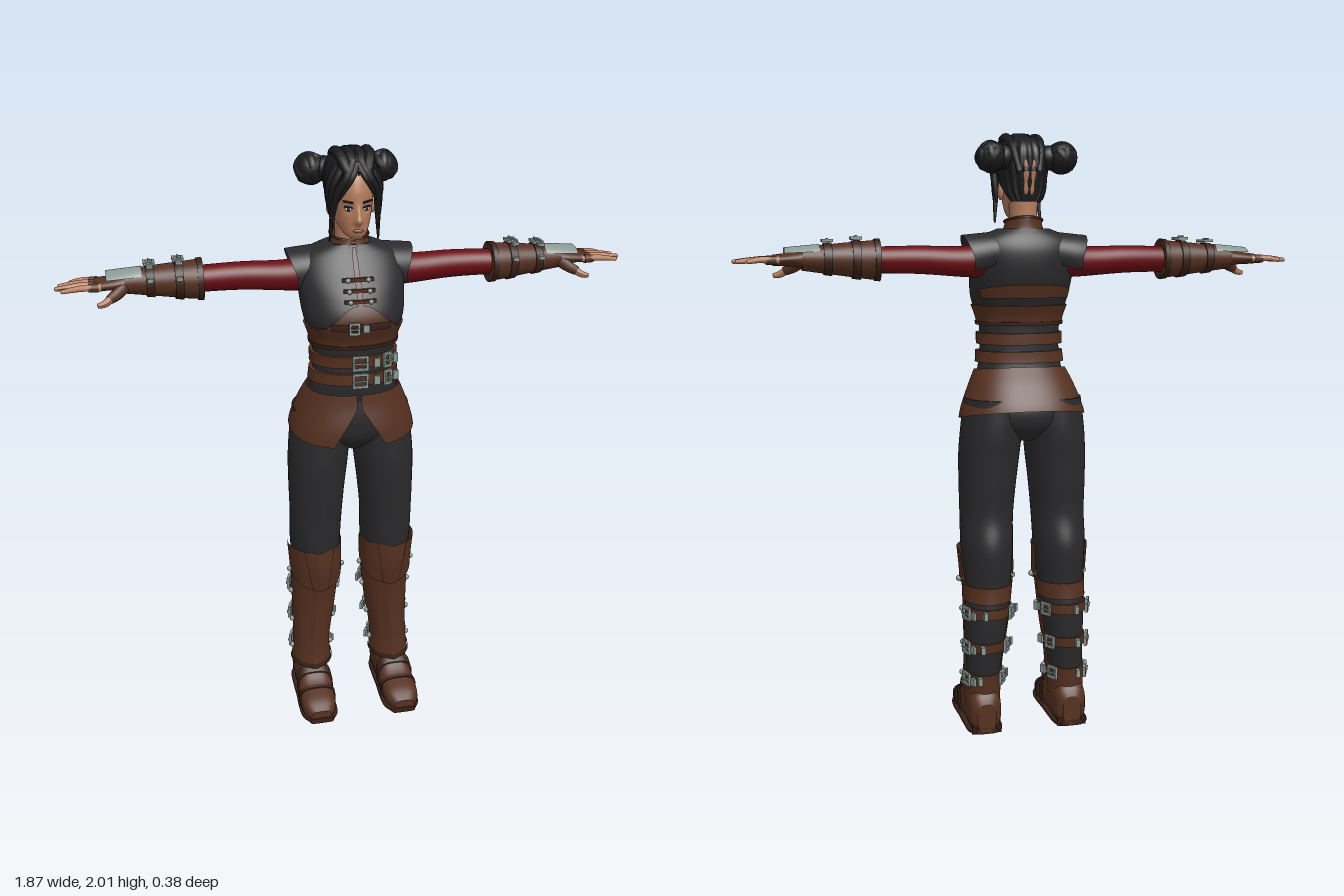
import * as THREE from 'three';

const mat = (name, color) => Object.assign(new THREE.MeshStandardMaterial({ color, side: THREE.DoubleSide }), { name });
const M = {
  hair: mat('hair', 0x1b1b1d), cloth: mat('black cloth', 0x2a2a2c), leather: mat('leather', 0x55301f),
  dark: mat('dark leather', 0x3a2218), red: mat('red sleeve', 0x6b0c13), skin: mat('skin', 0xb57d5c),
  metal: mat('metal', 0x8a9893), lips: mat('lips', 0x8f5245), white: mat('eye white', 0xd8d4cc),
};

// Smooth profile through rows of [y, centreX, centreZ, radiusX, radiusZ, squareness]
const profile = rows => y => {
  let i = 0;
  while (i < rows.length - 2 && y > rows[i + 1][0]) i++;
  const r = k => rows[Math.min(Math.max(k, 0), rows.length - 1)];
  const a = r(i), b = r(i + 1), h = b[0] - a[0], u = Math.min(Math.max((y - a[0]) / h, 0), 1);
  const slope = (k, c) => (r(k + 1)[c] - r(k - 1)[c]) / (r(k + 1)[0] - r(k - 1)[0]) * h;
  const out = [1, 2, 3, 4].map(c => a[c] * (2 * u ** 3 - 3 * u * u + 1) + b[c] * (3 * u * u - 2 * u ** 3)
    + slope(i, c) * (u ** 3 - 2 * u * u + u) + slope(i + 1, c) * (u ** 3 - u * u));
  return [...out, a[5] ?? 1];
};
const pow = (s, e) => Math.sign(s) * Math.abs(s) ** e;
const at = (prof, y, t, off = 0) => {
  const [cx, cz, rx, rz, e] = prof(y);
  return new THREE.Vector3(cx + (rx + off) * pow(Math.sin(t), e), y, cz + (rz + off) * pow(Math.cos(t), e));
};

// Skin a profile between two heights; an arc leaves it open, t = 0 faces the front
function loft(prof, y0, y1, { off = 0, arc, move, n = 16, seg = 40 } = {}) {
  const f = k => (typeof k === 'function' ? k : () => k), lo = f(y0), hi = f(y1);
  const pos = [], idx = [], cols = arc ? seg + 1 : seg;
  for (let i = 0; i <= n; i++) for (let j = 0; j < cols; j++) {
    const v = i / n, [a, b] = arc ? arc(v) : [-Math.PI, Math.PI], t = a + (b - a) * j / seg;
    const p = at(prof, lo(t) + (hi(t) - lo(t)) * v, t, off);
    if (move) move(p, t, v);
    pos.push(p.x, p.y, p.z);
  }
  for (let i = 0; i < n; i++) for (let j = 0; j < seg; j++) {
    const a = i * cols + j, b = i * cols + (j + 1) % cols;
    idx.push(a, b, b + cols, a, b + cols, a + cols);
  }
  if (!arc) for (const end of [0, n]) {
    const base = pos.length / 3, c = [0, 0, 0];
    for (let j = 0; j < cols; j++) for (let k = 0; k < 3; k++) {
      const q = pos[(end * cols + j) * 3 + k];
      pos.push(q); c[k] += q / cols;
    }
    pos.push(...c);
    for (let j = 0; j < cols; j++) {
      const p = base + j, q = base + (j + 1) % cols;
      idx.push(base + cols, ...(end ? [p, q] : [q, p]));
    }
  }
  const g = new THREE.BufferGeometry();
  g.setAttribute('position', new THREE.Float32BufferAttribute(pos, 3));
  g.setIndex(idx);
  g.computeVertexNormals();
  return g;
}
function add(parent, name, geo, material, x = 0, y = 0, z = 0) {
  const m = new THREE.Mesh(geo, material);
  m.name = name; m.position.set(x, y, z); parent.add(m);
  return m;
}
const group = (parent, name) => { const g = new THREE.Group(); g.name = name; parent.add(g); return g; };
const box = (w, h, d) => new THREE.BoxGeometry(w, h, d);
const ball = (r, sx = 1, sy = 1, sz = 1) => new THREE.SphereGeometry(r, 24, 16).scale(sx, sy, sz);
const bell = (d, w) => Math.exp(-((d / w) ** 2));

// Tapered strand along a curve
function strand(points, r, endScale = 0.2, flat = 1) {
  const c = new THREE.CatmullRomCurve3(points.map(p => new THREE.Vector3(...p)));
  const g = new THREE.TubeGeometry(c, 16, r, 10), p = g.attributes.position, v = new THREE.Vector3();
  for (let i = 0; i < p.count; i++) {
    const u = Math.floor(i / 11) / 16, o = c.getPointAt(u), k = 1 + (endScale - 1) * u * u;
    v.fromBufferAttribute(p, i).sub(o).multiplyScalar(k);
    p.setXYZ(i, o.x + v.x * flat, o.y + v.y, o.z + v.z);
  }
  g.computeVertexNormals();
  return g;
}
// Square buckle with prong and strap end, seated on a profile
function buckle(parent, prof, y, t, off, w = 0.04, h = 0.045) {
  const g = group(parent, 'buckle'), [, , rx, rz] = prof(y);
  g.position.copy(at(prof, y, t, off));
  g.rotation.y = Math.atan2(Math.sin(t) / rx, Math.cos(t) / rz);
  const rect = (S, a, b) => new S().moveTo(-a, -b).lineTo(a, -b).lineTo(a, b).lineTo(-a, b).closePath();
  const s = rect(THREE.Shape, w / 2, h / 2);
  s.holes.push(rect(THREE.Path, w / 2 - 0.007, h / 2 - 0.008));
  add(g, 'buckleFrame', new THREE.ExtrudeGeometry(s, { depth: 0.009, bevelEnabled: false }), M.metal);
  add(g, 'buckleProng', box(w, 0.005, 0.006), M.metal, 0, 0, 0.01);
  add(g, 'strapTip', box(0.02, h * 0.6, 0.01), M.metal, w * 1.05, 0, 0.004);
}
// Baked copy on the other side
function mirrored(src, name) {
  const out = new THREE.Group(); out.name = name;
  src.updateMatrixWorld(true);
  src.traverse(o => {
    if (!o.isMesh) return;
    const g = o.geometry.clone().applyMatrix4(o.matrixWorld).scale(-1, 1, 1);
    if (!g.index) g.setIndex([...Array(g.attributes.position.count).keys()]);
    const a = g.index.array;
    for (let i = 0; i < a.length; i += 3) [a[i], a[i + 1]] = [a[i + 1], a[i]];
    add(out, o.name, g, o.material);
  });
  return out;
}

function buildHead(root) {
  const head = group(root, 'head');
  const face = profile([[1.725, 0, 0.065, 0.015, 0.015], [1.74, 0, 0.045, 0.035, 0.047], [1.77, 0, 0.01, 0.052, 0.086],
    [1.8, 0, -0.01, 0.061, 0.107], [1.84, 0, -0.015, 0.066, 0.113], [1.88, 0, -0.02, 0.068, 0.116],
    [1.93, 0, -0.025, 0.064, 0.1], [1.965, 0, -0.03, 0.04, 0.06]]);
  add(head, 'face', loft(face, 1.725, 1.965, { n: 48, seg: 72, move: p => {
    if (p.z < 0.03) return;
    p.z += 0.022 * bell(p.x, 0.011) * bell(p.y - 1.787, 0.014) + 0.012 * bell(p.x, 0.009) * bell(p.y - 1.81, 0.02)
      - 0.008 * bell(Math.abs(p.x) - 0.027, 0.014) * bell(p.y - 1.823, 0.014) + 0.005 * bell(p.x, 0.016) * bell(p.y - 1.757, 0.009);
  } }), M.skin);
  add(head, 'neck', loft(profile([[1.64, 0, -0.05, 0.055, 0.055], [1.72, 0, -0.045, 0.045, 0.052], [1.82, 0, -0.04, 0.048, 0.06]]), 1.64, 1.82), M.skin);
  add(head, 'mouth', ball(0.017, 1, 0.35, 0.3), M.lips, 0, 1.757, 0.099);
  for (const s of [-1, 1]) {
    add(head, 'eye', ball(0.012, 1, 0.5, 0.35), M.white, s * 0.028, 1.822, 0.082).rotation.y = s * 0.3;
    add(head, 'iris', ball(0.006, 1, 1, 0.4), M.hair, s * 0.027, 1.822, 0.085);
    add(head, 'lashes', box(0.028, 0.004, 0.006), M.hair, s * 0.029, 1.829, 0.085).rotation.set(0, s * 0.35, s * 0.1);
    add(head, 'eyebrow', box(0.034, 0.005, 0.006), M.hair, s * 0.031, 1.846, 0.091).rotation.set(0, s * 0.35, s * 0.15);
    add(head, 'ear', ball(0.026, 0.4, 1.1, 0.7), M.skin, s * 0.069, 1.815, -0.015);
  }
  // Combed-back hair
  const hair = group(root, 'hair');
  const cap = profile([[1.78, 0, -0.07, 0.05, 0.045], [1.81, 0, -0.055, 0.068, 0.066], [1.85, 0, -0.03, 0.078, 0.1],
    [1.9, 0, -0.018, 0.085, 0.117], [1.95, 0, -0.018, 0.077, 0.106], [1.985, 0, -0.01, 0.05, 0.07], [2, 0, -0.005, 0.01, 0.015]]);
  const line = v => (v < 0.3 ? 1.75 - v : Math.max(0, 1.45 - (v - 0.3) * 3.6));
  add(hair, 'hairCap', loft(cap, 1.78, 2, { n: 32, seg: 120, arc: v => [line(v), 2 * Math.PI - line(v)],
    move: (p, t) => { const k = 1 + 0.025 * Math.cos(18 * t); p.x *= k; p.z = (p.z + 0.02) * k - 0.02; } }), M.hair);
  const side = group(hair, 'leftHair');
  add(side, 'bun', ball(0.048), M.hair, 0.117, 1.92, -0.085);
  for (let i = 0; i < 4; i++)
    add(side, 'bunTwist', new THREE.TorusGeometry(0.034, 0.019, 10, 24), M.hair, 0.117, 1.92, -0.085).rotation.set(i * 0.8, 0.5 + i * 0.9, 0);
  add(side, 'bunRoot', ball(0.04), M.hair, 0.075, 1.92, -0.075);
  const locks = [[[0.01, 1.965, 0.07], [0.035, 1.92, 0.097], [0.062, 1.87, 0.08], [0.072, 1.8, 0.05], [0.078, 1.715, 0.035]],
    [[0.03, 1.96, 0.06], [0.066, 1.9, 0.065], [0.076, 1.83, 0.05], [0.07, 1.76, 0.06]],
    [[0.0, 1.96, 0.08], [0.022, 1.92, 0.104], [0.042, 1.885, 0.099], [0.058, 1.85, 0.086]],
    [[0.05, 1.95, 0.04], [0.078, 1.89, 0.04], [0.078, 1.83, 0.03], [0.072, 1.78, 0.025]]];
  locks.forEach((l, i) => add(side, 'sideLock', strand(l, i === 2 ? 0.011 : 0.015), M.hair));
  for (const x of [0.015, 0.045])
    add(side, 'crownLock', strand([[x * 0.6, 1.93, 0.09], [x, 1.977, 0.05], [x * 1.1, 1.983, -0.02], [x, 1.95, -0.09], [x * 0.7, 1.87, -0.13]], 0.018, 0.6), M.hair);
  hair.add(mirrored(side, 'rightHair'));
}

function buildTorso(root) {
  const g = group(root, 'torso');
  const torso = profile([[1.19, 0, 0, 0.155, 0.105, 0.9], [1.25, 0, 0.013, 0.14, 0.1, 0.9], [1.33, 0, 0.015, 0.133, 0.098, 0.9],
    [1.4, 0, 0.018, 0.14, 0.105, 0.9], [1.47, 0, 0.017, 0.163, 0.132, 0.9], [1.55, 0, -0.01, 0.173, 0.13, 0.9],
    [1.62, 0, -0.037, 0.178, 0.107, 0.9], [1.665, 0, -0.045, 0.155, 0.085, 0.9], [1.695, 0, -0.043, 0.085, 0.067, 0.9]]);
  add(g, 'vest', loft(torso, 1.19, 1.695, { n: 40, seg: 56 }), M.cloth);
  add(g, 'collar', loft(profile([[1.67, 0, -0.04, 0.088, 0.078], [1.695, 0, -0.042, 0.066, 0.068], [1.73, 0, -0.045, 0.058, 0.062]]),
    1.67, t => 1.72 - 0.012 * Math.cos(t), { arc: () => [0.12, 2 * Math.PI - 0.12] }), M.leather);
  add(g, 'collarEdge', new THREE.TorusGeometry(0.062, 0.004, 8, 40).rotateX(Math.PI / 2 + 0.19), M.dark, 0, 1.72, -0.044);
  add(g, 'frontTrim', loft(torso, 1.5, 1.69, { off: 0.006, arc: () => [-0.035, 0.035], seg: 4 }), M.leather);
  // Shaped chest band and waist belts
  const peak = t => 1.445 + 0.085 * bell(Math.atan2(Math.sin(t), Math.cos(t)), 0.5);
  add(g, 'chestBand', loft(torso, 1.385, peak, { off: 0.007, seg: 64 }), M.leather);
  add(g, 'chestStrap', loft(torso, 1.45, 1.475, { off: 0.012, n: 3, arc: () => [-0.55, 0.55] }), M.dark);
  add(g, 'backBand', loft(torso, 1.47, t => 1.485 - 0.03 * Math.cos(t), { off: 0.006, n: 4, arc: () => [2.1, 4.18] }), M.leather);
  add(g, 'bandHem', loft(torso, 1.38, 1.392, { off: 0.011, n: 2 }), M.dark);
  for (const [y, h] of [[1.335, 0.038], [1.275, 0.038]])
    add(g, 'belt', loft(torso, y - h / 2, y + h / 2, { off: 0.012, n: 4 }), M.leather);
  buckle(g, torso, 1.463, -0.12, 0.015, 0.035, 0.04);
  for (const y of [1.335, 1.275]) for (const t of [0, 0.62]) buckle(g, torso, y, t, 0.016, t ? 0.03 : 0.052, 0.05);
  // Toggle fastenings
  for (const y of [1.6, 1.57, 1.54]) {
    const z = at(torso, y, 0, 0.01).z;
    add(g, 'toggle', box(0.1, 0.011, 0.012), M.leather, 0, y, z - 0.004);
    for (const s of [-1, 1]) add(g, 'toggleStud', ball(0.008), M.metal, s * 0.033, y, z + 0.003);
  }
  // Pelvis and flared split skirt
  add(g, 'pelvis', loft(profile([[1.0, 0, -0.03, 0.04, 0.08], [1.05, 0, -0.03, 0.17, 0.125], [1.12, 0, -0.025, 0.19, 0.135], [1.22, 0, 0, 0.145, 0.1]]), 1.0, 1.22), M.cloth);
  const gap = v => 0.015 + 0.3 * Math.max(0, 0.72 - v);
  const skirt = profile([[1.04, 0, -0.022, 0.217, 0.165, 0.85], [1.1, 0, -0.024, 0.207, 0.163, 0.85], [1.18, 0, -0.012, 0.178, 0.135, 0.85], [1.25, 0, 0.01, 0.146, 0.106, 0.85]]);
  const hem = t => 1.075 - 0.032 * Math.cos(t);
  add(g, 'skirt', loft(skirt, hem, t => 1.232 - 0.012 * Math.cos(t), { seg: 72, arc: v => [gap(v) * 1.5, 2 * Math.PI - gap(v) * 1.5] }), M.leather);
}

function buildArm(root) {
  const outer = group(root, 'leftArm'), g = group(outer, 'armParts');
  g.position.y = 1.595; g.rotation.z = -Math.PI / 2; // local y runs outward, local -x is up
  const up = -Math.PI / 2;
  add(g, 'shoulderCap', loft(profile([[0.1, -0.02, -0.05, 0.07, 0.08], [0.17, -0.006, -0.053, 0.077, 0.082], [0.21, -0.002, -0.053, 0.077, 0.078]]), 0.1,
    t => 0.18 + 0.028 * Math.max(0, -Math.sin(t)), { arc: () => [up - 2.1, up + 2.1] }), M.cloth);
  add(g, 'sleeve', loft(profile([[0.12, 0, -0.052, 0.06, 0.06], [0.2, 0.006, -0.052, 0.05, 0.052], [0.35, 0, -0.054, 0.045, 0.046], [0.5, 0, -0.048, 0.042, 0.044]]), 0.12, 0.5), M.red);
  const bracer = profile([[0.475, 0, -0.046, 0.064, 0.065], [0.52, 0, -0.046, 0.06, 0.061], [0.6, -0.002, -0.048, 0.051, 0.053], [0.72, -0.004, -0.05, 0.037, 0.044]]);
  add(g, 'bracer', loft(bracer, 0.475, 0.72), M.leather);
  add(g, 'bracerCuff', loft(bracer, 0.475, 0.493, { off: 0.004, n: 2 }), M.dark);
  for (const y of [0.55, 0.64]) {
    add(g, 'bracerStrap', loft(bracer, y - 0.013, y + 0.013, { off: 0.005, n: 2 }), M.dark);
    buckle(g, bracer, y, up, 0.007, 0.045, 0.036);
    add(g, 'strapEnd', box(0.012, 0.02, 0.016), M.metal, -0.02, y, 0.015);
  }
  // Glove, wrist plate and fingers
  add(g, 'glove', loft(profile([[0.69, -0.003, -0.05, 0.034, 0.04], [0.74, -0.003, -0.05, 0.024, 0.046], [0.81, 0, -0.053, 0.017, 0.048]]), 0.69, 0.81), M.leather);
  add(g, 'wristPlate', loft(profile([[0.665, -0.004, -0.05, 0.046, 0.048], [0.7, -0.004, -0.05, 0.043, 0.052], [0.775, -0.004, -0.052, 0.036, 0.058]]), 0.665, 0.775,
    { arc: () => [up - 1.05, up + 1.05] }), M.metal);
  [[-0.093, 0.885], [-0.066, 0.918], [-0.038, 0.928], [-0.01, 0.908]].forEach(([z, tip], i) => {
    const z2 = z + (i - 1.7) * 0.006;
    add(g, 'finger', strand([[0, 0.79, z], [-0.002, 0.85, (z + z2) / 2], [0.004, tip, z2]], 0.0115, 0.6), M.skin);
    add(g, 'fingerGuard', new THREE.CylinderGeometry(0.0135, 0.0145, 0.03, 12), M.leather, 0, 0.815, z);
    add(g, 'fingertip', ball(0.007), M.skin, 0.004, tip, z2);
  });
  add(g, 'thumbBase', strand([[0, 0.715, -0.03], [0.022, 0.745, -0.004], [0.035, 0.77, 0.01]], 0.021, 0.7), M.leather);
  add(g, 'thumb', strand([[0.033, 0.765, 0.008], [0.045, 0.785, 0.016], [0.05, 0.807, 0.02]], 0.0125, 0.6), M.skin);
  root.add(mirrored(outer, 'rightArm'));
}

function buildLeg(root) {
  const g = group(root, 'leftLeg');
  const leg = profile([[0.12, 0.148, -0.055, 0.055, 0.065], [0.2, 0.146, -0.058, 0.058, 0.07], [0.3, 0.14, -0.062, 0.065, 0.08], [0.42, 0.132, -0.064, 0.074, 0.088],
    [0.51, 0.128, -0.055, 0.077, 0.09], [0.58, 0.127, -0.042, 0.084, 0.112], [0.65, 0.127, -0.036, 0.088, 0.12], [0.74, 0.125, -0.024, 0.09, 0.112],
    [0.85, 0.121, -0.024, 0.096, 0.12], [0.95, 0.115, -0.025, 0.102, 0.127], [1.03, 0.108, -0.03, 0.103, 0.13], [1.14, 0.098, -0.03, 0.1, 0.127]]);
  add(g, 'trouserLeg', loft(leg, 0.12, 1.14, { n: 48 }), M.cloth);
  // Shin guard and knee plate
  const shin = profile([[0.14, 0.146, -0.04, 0.071, 0.09], [0.22, 0.144, -0.046, 0.066, 0.085], [0.38, 0.133, -0.05, 0.078, 0.09], [0.52, 0.127, -0.045, 0.087, 0.1]]);
  const ridge = (p, t) => { p.z += 0.008 * bell(t, 0.2); };
  add(g, 'shinGuard', loft(shin, 0.14, 0.52, { arc: () => [-1.75, 1.75], move: ridge }), M.leather);
  add(g, 'shinHem', loft(shin, 0.138, 0.155, { off: 0.004, n: 2, arc: () => [-1.75, 1.75], move: ridge }), M.dark);
  const knee = profile([[0.47, 0.127, -0.03, 0.09, 0.1], [0.55, 0.128, -0.032, 0.092, 0.114], [0.63, 0.131, -0.028, 0.096, 0.11]]);
  add(g, 'kneePlate', loft(knee, t => 0.472 + 0.02 * t * t, 0.63, { arc: () => [-1.85, 1.85], move: ridge }), M.leather);
  for (const s of [-1, 1])
    add(g, 'kneeSeam', loft(knee, 0.475, 0.63, { off: 0.003, n: 6, seg: 4, arc: v => [s * (0.3 + 0.25 * v) - 0.025, s * (0.3 + 0.25 * v) + 0.025], move: ridge }), M.dark);
  add(g, 'calfBand', loft(leg, 0.455, 0.51, { off: 0.005, n: 4 }), M.leather);
  for (const y of [0.42, 0.3, 0.185]) {
    add(g, 'calfStrap', loft(leg, y - 0.017, y + 0.017, { off: 0.006, n: 3 }), M.leather);
    for (const t of [2.0, 4.1]) buckle(g, leg, y, t, 0.009, 0.042, 0.044);
    add(g, 'strapEnd', box(0.014, 0.026, 0.022), M.metal, leg(y)[0] + 0.025, y, leg(y)[1] - leg(y)[3] - 0.008);
  }
  for (const [prof, y] of [[knee, 0.52], [shin, 0.42], [shin, 0.3], [shin, 0.19]]) for (const t of [-1.5, 1.5])
    add(g, 'rivet', ball(0.01), M.metal).position.copy(at(prof, y, t, 0.003));
  // Boot: local y runs forward, local -z is up
  const boot = group(g, 'boot');
  boot.rotation.x = Math.PI / 2;
  const foot = profile([[-0.143, 0.15, -0.055, 0.032, 0.05, 0.7], [-0.125, 0.15, -0.07, 0.052, 0.07, 0.7], [-0.05, 0.15, -0.078, 0.058, 0.078, 0.7], [0.03, 0.15, -0.07, 0.059, 0.07, 0.7],
    [0.09, 0.151, -0.049, 0.062, 0.049, 0.7], [0.16, 0.153, -0.036, 0.058, 0.036, 0.7], [0.197, 0.153, -0.026, 0.036, 0.022, 0.7]]);
  add(boot, 'foot', loft(foot, -0.143, 0.197, { n: 28 }), M.leather);
  add(boot, 'toeSeam', loft(foot, 0.1, 0.112, { off: 0.004, n: 2 }), M.dark);
  add(boot, 'instepStrap', loft(foot, 0.03, 0.06, { off: 0.005, n: 3 }), M.dark);
  add(boot, 'sole', loft(y => [0.151, -0.01, foot(y)[2] + 0.005, 0.01, 0.4], -0.143, 0.2, { n: 28 }), M.dark);
  add(boot, 'heel', box(0.1, 0.1, 0.028), M.dark, 0.15, -0.088, -0.014);
  add(g, 'bootShaft', loft(leg, 0.1, 0.17, { off: 0.006, n: 4 }), M.leather);
  root.add(mirrored(g, 'rightLeg'));
}

export function createModel() {
  const root = new THREE.Group();
  root.name = 'figure';
  [buildHead, buildTorso, buildArm, buildLeg].forEach(build => build(root));
  return root;
}
